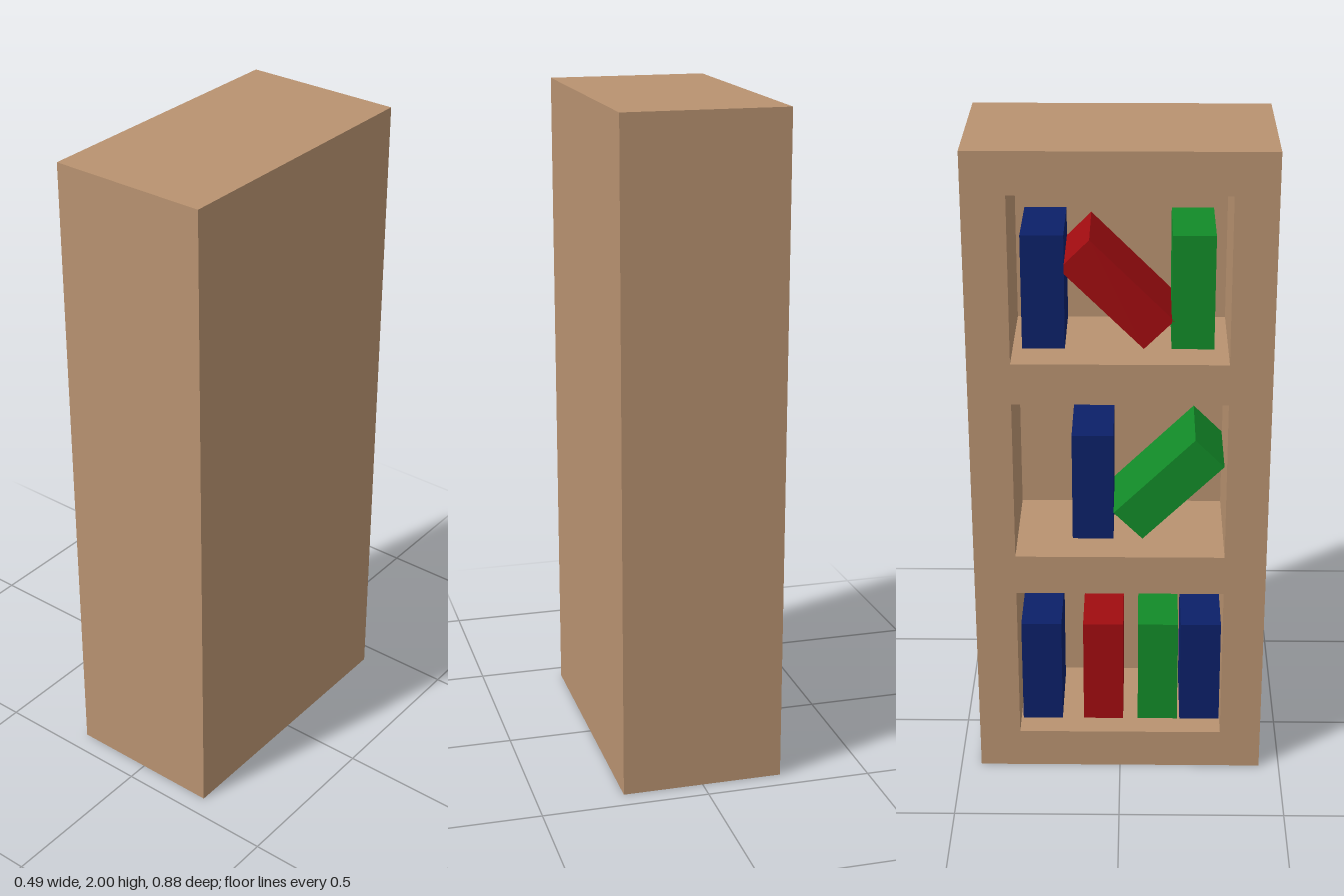
import * as THREE from 'three';

const WIDTH = 0.875, HEIGHT = 2, BOARD = 0.125;
const FRONT_X = -0.2425, PANEL_X = 0.125, BACK_X = 0.2425;
const SHELF_Y = [0.125, 0.75, 1.375];
const OPENING = 0.5;
const BOOK = { thick: 0.124, tall: 0.345, deep: 0.25 };

const mat = (name, color) => {
  const m = new THREE.MeshStandardMaterial({ color });
  m.name = name;
  return m;
};

function rectangle(target, u0, u1, y0, y1) {
  target.moveTo(u0, y0);
  target.lineTo(u1, y0);
  target.lineTo(u1, y1);
  target.lineTo(u0, y1);
  target.closePath();
  return target;
}

export function createModel() {
  const wood = mat('wood', 0xb89270);
  const red = mat('red cover', 0xa00c10);
  const green = mat('green cover', 0x128a28);
  const blue = mat('blue cover', 0x0b2068);

  const model = new THREE.Group();
  model.name = 'bookcase';
  const add = (name, geometry, material, parent = model) => {
    const mesh = new THREE.Mesh(geometry, material);
    mesh.name = name;
    parent.add(mesh);
    return mesh;
  };

  // Frame with three compartments opening towards -x
  const outline = rectangle(new THREE.Shape(), -WIDTH / 2, WIDTH / 2, 0, HEIGHT);
  const half = WIDTH / 2 - BOARD;
  for (const y of SHELF_Y) {
    outline.holes.push(rectangle(new THREE.Path(), -half, half, y, y + OPENING));
  }
  const frameGeo = new THREE.ExtrudeGeometry(outline, { depth: PANEL_X - FRONT_X, bevelEnabled: false });
  frameGeo.rotateY(-Math.PI / 2).translate(PANEL_X, 0, 0);
  add('frame', frameGeo, wood);

  // Solid panel closing the compartments
  const panelGeo = new THREE.BoxGeometry(BACK_X - PANEL_X, HEIGHT, WIDTH);
  panelGeo.translate((PANEL_X + BACK_X) / 2, HEIGHT / 2, 0);
  add('backPanel', panelGeo, wood);

  // Books stand on a shelf; a lean tips the book about its lower corner at z
  const books = new THREE.Group();
  books.name = 'books';
  model.add(books);
  const addBook = (name, shelf, material, spineX, z, lean = 0) => {
    const geo = new THREE.BoxGeometry(BOOK.deep, BOOK.tall, BOOK.thick);
    const side = lean > 0 ? -1 : 1;
    geo.translate(BOOK.deep / 2, BOOK.tall / 2, side * BOOK.thick / 2);
    const mesh = add(name, geo, material, books);
    mesh.position.set(spineX, SHELF_Y[shelf], z);
    mesh.rotation.x = lean;
  };

  // Bottom shelf
  [[blue, -0.306], [red, -0.115], [green, 0.055], [blue, 0.187]].forEach(([m, z], i) =>
    addBook(`lowerBook${i + 1}`, 0, m, -0.167, z));

  // Middle shelf
  addBook('middleUprightBook', 1, blue, -0.126, -0.145);
  addBook('middleLeaningBook', 1, green, -0.126, 0.067, Math.PI / 4);

  // Top shelf
  addBook('upperSupportBook', 2, blue, -0.126, -0.285);
  addBook('upperLeaningBook', 2, red, -0.126, 0.068, -Math.PI / 4);
  addBook('upperUprightBook', 2, green, -0.126, 0.148);

  return model;
}
